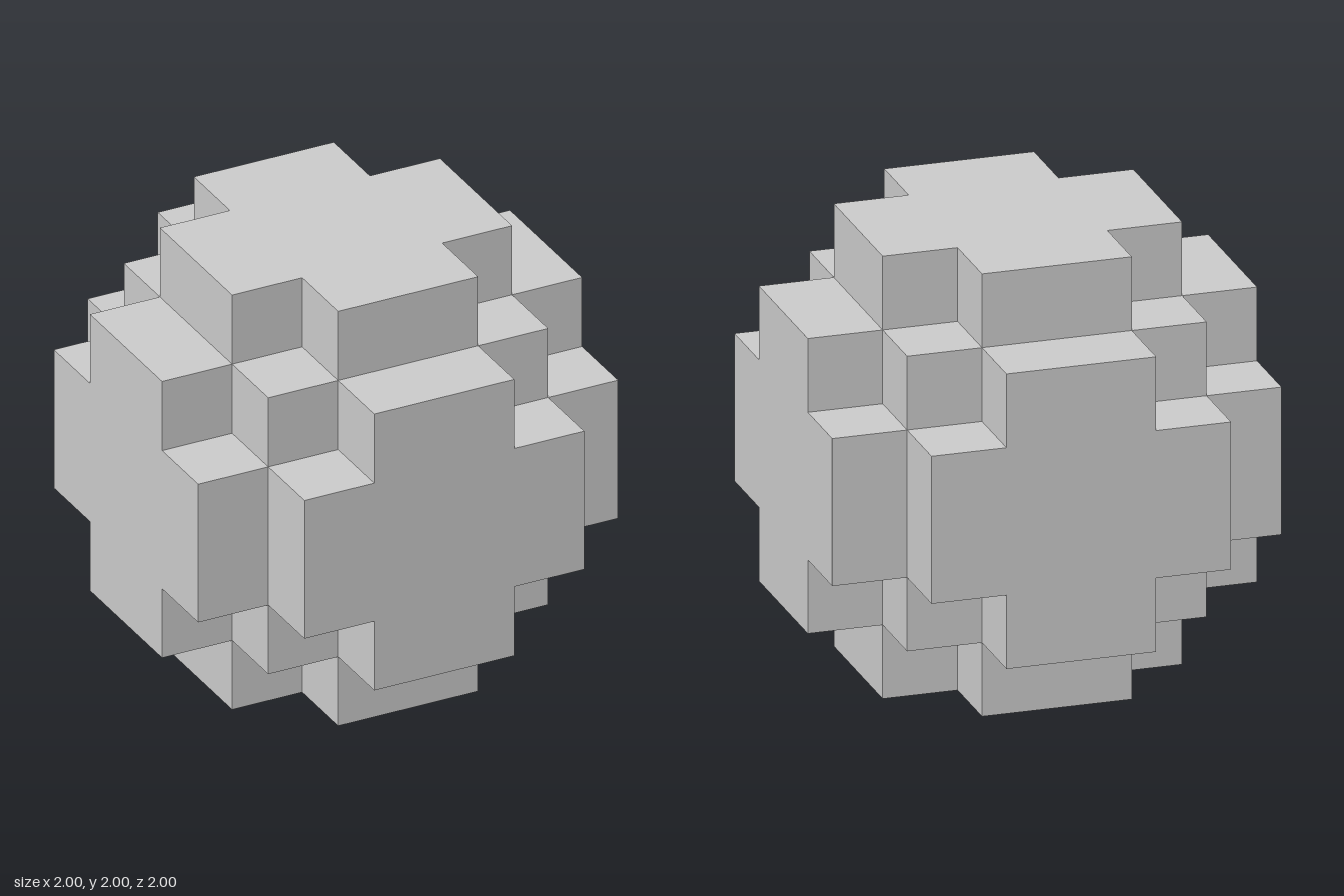
import * as THREE from 'three';
import { mergeGeometries } from 'three/addons/utils/BufferGeometryUtils.js';

const N = 6;            // cells along each axis
const CELL = 2 / N;
const RADIUS_SQ = 9;    // squared radius, in cells, for cell centres inside the ball

const DIRECTIONS = [
  [1, 0, 0], [-1, 0, 0], [0, 1, 0], [0, -1, 0], [0, 0, 1], [0, 0, -1],
].map((d) => new THREE.Vector3(...d));

// A cell is solid when its centre lies inside the ball
const isSolid = (centre) => centre.lengthSq() < RADIUS_SQ;

// One square cell face pointing along dir
function cellFace(centre, dir) {
  const turn = new THREE.Quaternion().setFromUnitVectors(new THREE.Vector3(0, 0, 1), dir);
  const face = new THREE.PlaneGeometry(CELL, CELL);
  face.applyQuaternion(turn);
  const p = centre.clone().addScaledVector(dir, 0.5).multiplyScalar(CELL);
  return face.translate(p.x, p.y + 1, p.z);
}

export function createModel() {
  const group = new THREE.Group();
  group.name = 'steppedBall';
  const faces = [];

  // Keep only the faces between a solid cell and an empty one
  for (let i = 0; i < N; i++) {
    for (let j = 0; j < N; j++) {
      for (let k = 0; k < N; k++) {
        const centre = new THREE.Vector3(i, j, k).subScalar((N - 1) / 2);
        if (!isSolid(centre)) continue;
        for (const dir of DIRECTIONS) {
          if (!isSolid(centre.clone().add(dir))) faces.push(cellFace(centre, dir));
        }
      }
    }
  }

  const material = new THREE.MeshStandardMaterial({ color: 0xcccccc, flatShading: true });
  const shell = new THREE.Mesh(mergeGeometries(faces), material);
  shell.name = 'blockShell';
  group.add(shell);
  return group;
}
